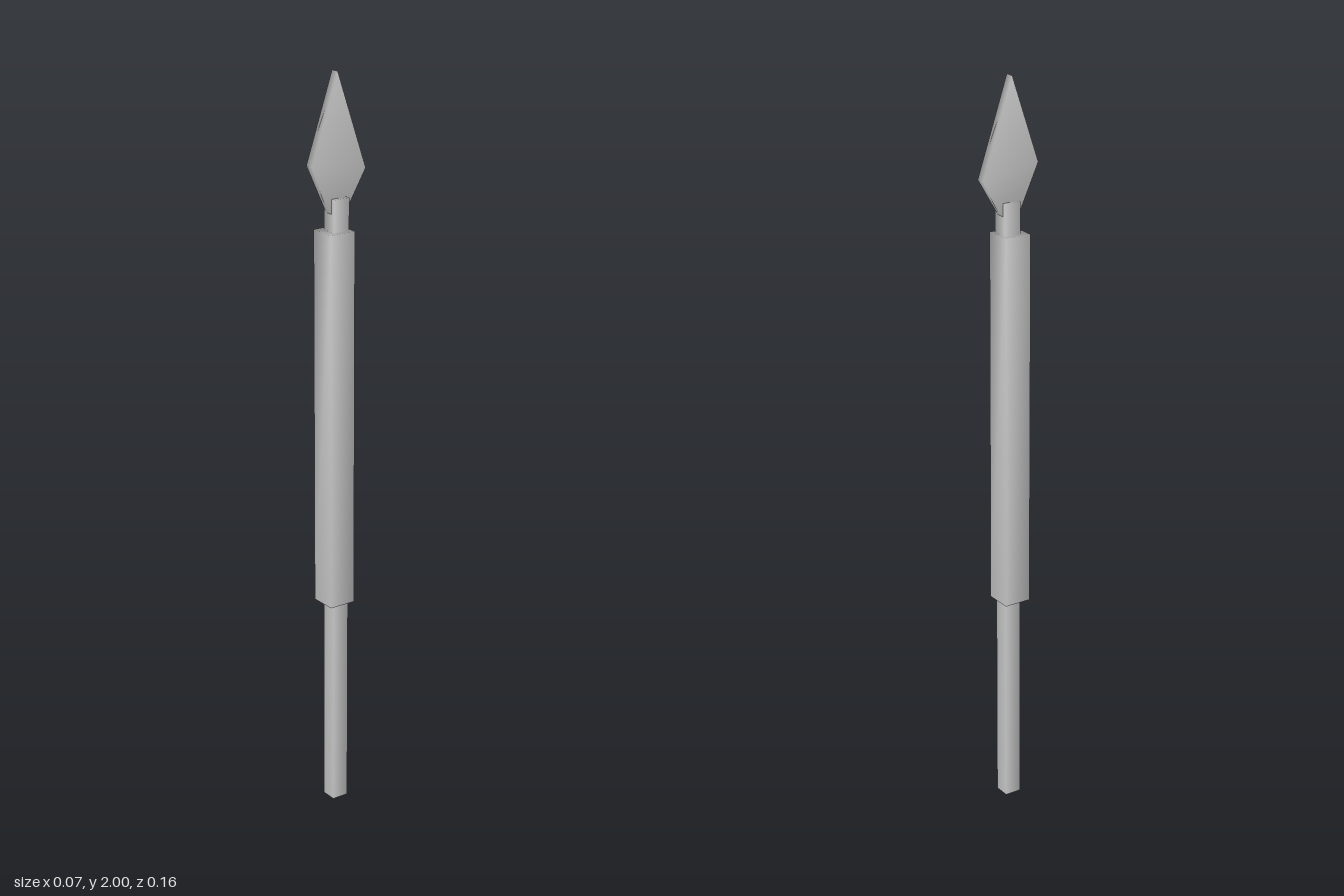
import * as THREE from 'three';
import { mergeVertices } from 'three/addons/utils/BufferGeometryUtils.js';

const material = new THREE.MeshStandardMaterial({ color: 0xcccccc });

// Share corners so the normals run smoothly across every edge
function smooth(geometry) {
  geometry.deleteAttribute('normal');
  geometry.deleteAttribute('uv');
  const merged = mergeVertices(geometry, 1e-5);
  merged.computeVertexNormals();
  return merged;
}

function addPart(group, name, geometry) {
  const mesh = new THREE.Mesh(smooth(geometry), material);
  mesh.name = name;
  group.add(mesh);
  return mesh;
}

export function createModel() {
  const group = new THREE.Group();
  group.name = 'spear';

  // Square shaft, leaning very slightly towards +x
  const shaftGeometry = new THREE.BoxGeometry(0.044, 1.68, 0.046);
  const p = shaftGeometry.attributes.position;
  for (let i = 0; i < p.count; i++) p.setX(i, p.getX(i) + (p.getY(i) > 0 ? 0.002 : -0.003));
  addPart(group, 'shaft', shaftGeometry).position.set(0, 0.84, -0.002);

  // Thicker square grip around the shaft
  addPart(group, 'grip', new THREE.BoxGeometry(0.074, 1.015, 0.074)).position.set(0, 1.0875, 0.004);

  // Flat kite-shaped blade, drawn as (z, y) and turned into the side plane
  const outline = [[0.002, 1.6], [0.08, 1.77], [0.002, 2], [-0.084, 1.745]];
  const shape = new THREE.Shape(outline.map(([z, y]) => new THREE.Vector2(-z, y)));
  const bladeGeometry = new THREE.ExtrudeGeometry(shape, { depth: 0.024, bevelEnabled: false });
  bladeGeometry.translate(0, 0, -0.012).rotateY(Math.PI / 2);
  addPart(group, 'blade', bladeGeometry);

  return group;
}
